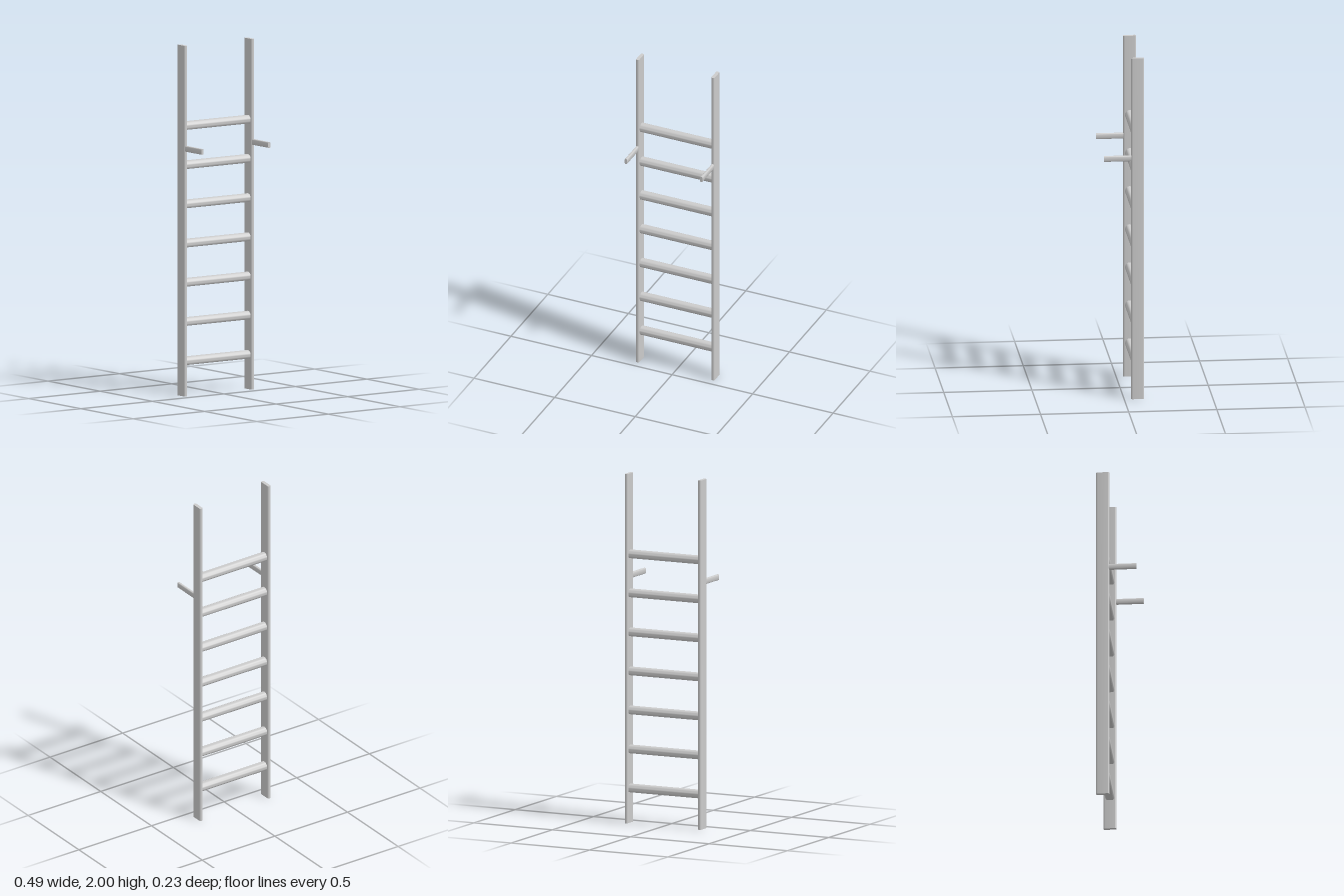
import * as THREE from 'three';
import { toCreasedNormals } from 'three/addons/utils/BufferGeometryUtils.js';

const material = new THREE.MeshStandardMaterial({ color: 0xcccccc });

// Rounded rectangle centred on the origin
function roundedRect(w, h, r) {
  const s = new THREE.Shape();
  const x = w / 2 - r, y = h / 2 - r;
  s.absarc(x, y, r, 0, Math.PI / 2);
  s.absarc(-x, y, r, Math.PI / 2, Math.PI);
  s.absarc(-x, -y, r, Math.PI, Math.PI * 1.5);
  s.absarc(x, -y, r, Math.PI * 1.5, Math.PI * 2);
  s.closePath();
  return s;
}

// Straight bar: a section swept along z with smooth rounded edges
function bar(shape, length) {
  const geo = new THREE.ExtrudeGeometry(shape, { depth: length, bevelEnabled: false, curveSegments: 8 });
  return toCreasedNormals(geo, 0.6);
}

function addPart(parent, name, geometry, x, y, z) {
  const mesh = new THREE.Mesh(geometry, material);
  mesh.name = name;
  mesh.position.set(x, y, z);
  parent.add(mesh);
}

export function createModel() {
  const ladder = new THREE.Group();
  ladder.name = 'ladder';
  const railX = 0.234, railZ = -0.077;

  // Side rails and the brackets reaching forward from them
  const railGeo = bar(roundedRect(0.02, 0.074, 0.008), 2).rotateX(-Math.PI / 2);
  const bracketGeo = bar(roundedRect(0.015, 0.033, 0.005), 0.162);
  for (const [side, s] of [['left', 1], ['right', -1]]) {
    addPart(ladder, side + 'Rail', railGeo, s * railX, 0, railZ);
    addPart(ladder, side + 'Bracket', bracketGeo, s * railX, 1.413, -0.048);
  }

  // Rungs: round bars with a flattened underside
  const r = 0.0272, cut = Math.asin(0.0195 / r);
  const rungShape = new THREE.Shape();
  rungShape.absarc(0, 0, r, -cut, Math.PI + cut);
  rungShape.closePath();
  const span = railX * 2 - 0.01;
  const rungGeo = bar(rungShape, span).translate(0, 0, -span / 2).rotateY(Math.PI / 2);
  for (let i = 0; i < 7; i++) {
    addPart(ladder, 'rung' + (i + 1), rungGeo, 0, 0.196 + i * 0.2235, railZ);
  }
  return ladder;
}
